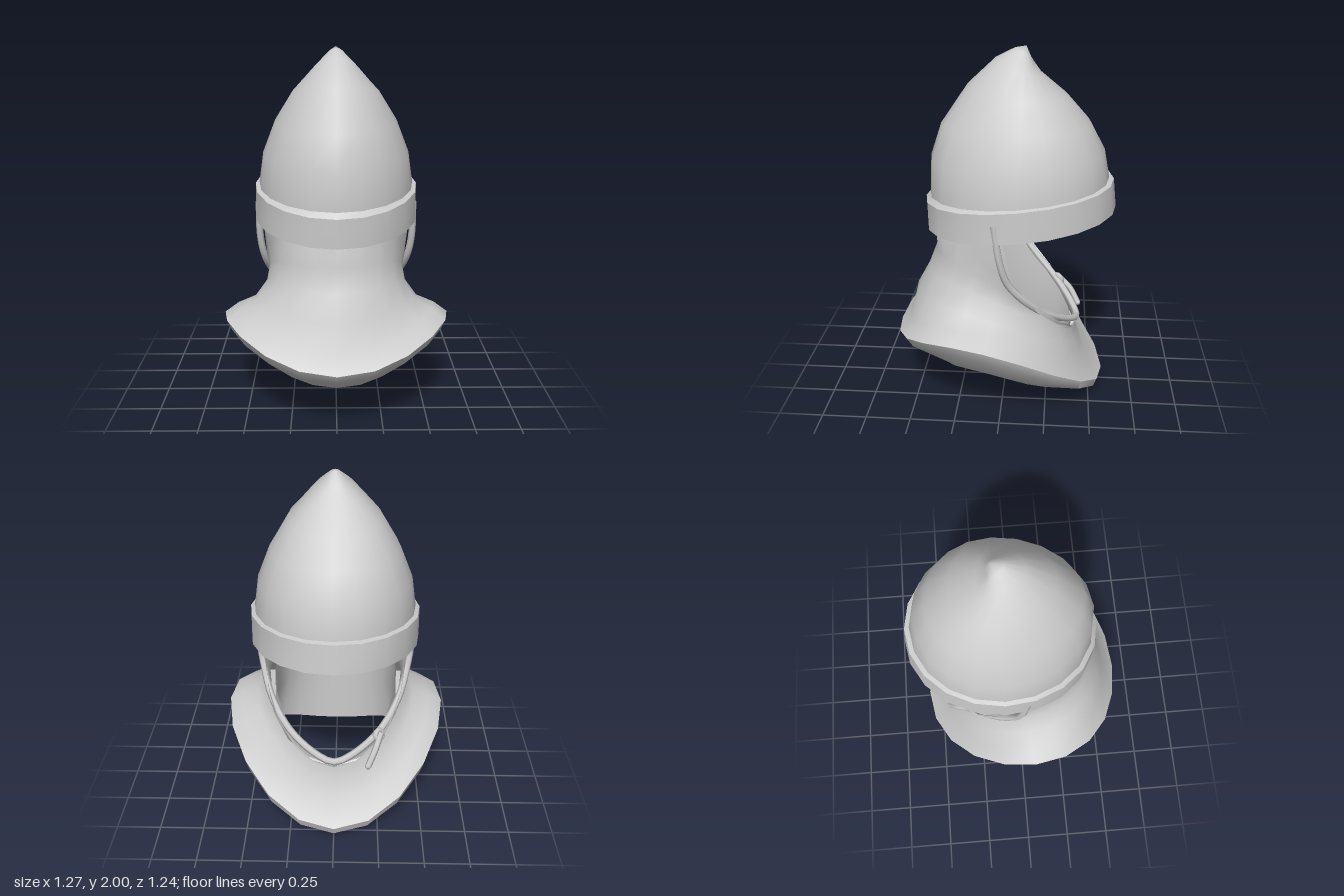
import * as THREE from 'three';
import { toCreasedNormals } from 'three/addons/utils/BufferGeometryUtils.js';

const SIDES = 20;
const material = new THREE.MeshStandardMaterial({ color: 0xcccccc, side: THREE.DoubleSide });

// Value round a ring, given at the front (+z), at the side and at the back (-z).
function around(front, side, back, t) {
  const mid = (front + back) / 2;
  return (mid + side) / 2 + ((front - back) / 2) * Math.cos(t) + ((mid - side) / 2) * Math.cos(2 * t);
}

// Left-right symmetric ring: front [z, y], side [x, z, y], back [z, y].
function ring([f, s, b]) {
  return Array.from({ length: SIDES }, (_, i) => {
    const t = (i / SIDES) * Math.PI * 2;
    return new THREE.Vector3(s[0] * Math.sin(t), around(f[1], s[2], b[1], t), around(f[0], s[1], b[0], t));
  });
}

// Skin a list of rings; the last one may be closed with an apex.
function loft(rings, crease, apex) {
  const pos = rings.flat().flatMap((p) => [p.x, p.y, p.z]);
  const index = [];
  for (let r = 0; r < rings.length - 1; r++) {
    for (let i = 0; i < SIDES; i++) {
      const a = r * SIDES + i, b = r * SIDES + ((i + 1) % SIDES);
      index.push(a, b, b + SIDES, a, b + SIDES, a + SIDES);
    }
  }
  if (apex) {
    const top = rings.length * SIDES, base = top - SIDES;
    pos.push(...apex);
    for (let i = 0; i < SIDES; i++) index.push(base + i, base + ((i + 1) % SIDES), top);
  }
  const geo = new THREE.BufferGeometry();
  geo.setAttribute('position', new THREE.Float32BufferAttribute(pos, 3));
  geo.setIndex(index);
  geo.computeVertexNormals();
  return crease ? toCreasedNormals(geo, crease) : geo;
}

const curve = (pts) => new THREE.CatmullRomCurve3(pts.map((p) => new THREE.Vector3(...p)));
const mirrored = (half) => [...half, ...half.slice(0, -1).reverse().map(([x, y, z]) => [-x, y, z])];

export function createModel() {
  const group = new THREE.Group();
  const add = (name, geo) => {
    const mesh = new THREE.Mesh(geo, material);
    mesh.name = name;
    group.add(mesh);
    return mesh;
  };

  // Pointed skull, its tip swept towards -z
  const skull = [
    [[0.41, 1.08], [0.43, -0.09, 1.14], [-0.575, 1.2]],
    [[0.42, 1.2], [0.435, -0.09, 1.25], [-0.57, 1.3]],
    [[0.41, 1.4], [0.41, -0.09, 1.42], [-0.54, 1.45]],
    [[0.35, 1.58], [0.34, -0.1, 1.6], [-0.46, 1.6]],
    [[0.2, 1.8], [0.24, -0.1, 1.76], [-0.335, 1.74]],
    [[0.05, 1.94], [0.125, -0.1, 1.88], [-0.19, 1.86]],
    [[-0.05, 1.99], [0.045, -0.11, 1.96], [-0.14, 1.925]],
  ];
  add('skull', loft(skull.map(ring), 0, [0, 2, -0.11]));

  // Tilted brow band
  const band = [
    [[0.42, 1.19], [0.43, -0.09, 1.25], [-0.57, 1.29]],
    [[0.405, 1.01], [0.425, -0.09, 1.07], [-0.58, 1.13]],
    [[0.44, 1.0], [0.46, -0.09, 1.07], [-0.615, 1.125]],
    [[0.445, 1.16], [0.457, -0.09, 1.24], [-0.597, 1.285]],
    [[0.42, 1.19], [0.43, -0.09, 1.25], [-0.57, 1.29]],
  ];
  add('browBand', loft(band.map(ring), 0.7));

  // Coif: lining, neck hole, cape rim, shoulders and neck, ending at the face opening
  const coif = [
    [[0.36, 0.9], [0.35, 0.0, 0.78], [-0.39, 0.4]],
    [[0.36, 0.5], [0.36, 0.05, 0.52], [-0.37, 0.2]],
    [[0.36, 0.18], [0.42, 0.08, 0.27], [-0.34, 0.0]],
    [[0.59, 0.32], [0.61, 0.05, 0.45], [-0.56, 0.03]],
    [[0.62, 0.37], [0.635, 0.07, 0.52], [-0.58, 0.08]],
    [[0.55, 0.46], [0.56, 0.05, 0.57], [-0.47, 0.2]],
    [[0.51, 0.62], [0.46, 0.04, 0.61], [-0.43, 0.32]],
    [[0.44, 0.75], [0.395, 0.03, 0.7], [-0.41, 0.38]],
    [[0.39, 0.88], [0.38, 0.01, 0.78], [-0.41, 0.39]],
    [[0.4, 1.1], [0.395, -0.02, 0.84], [-0.415, 0.395]],
  ].map(ring);
  const edge = curve([
    [0, 1.3, 0.25], [0.33, 1.25, 0.1], [0.415, 1.1, 0], [0.405, 0.95, -0.035],
    [0.39, 0.78, -0.08], [0.34, 0.6, -0.22], [0.2, 0.46, -0.36], [0, 0.4, -0.42],
  ]);
  coif.push(Array.from({ length: SIDES }, (_, i) => {
    const p = edge.getPoint(1 - Math.abs(1 - (2 * i) / SIDES));
    if (i > SIDES / 2) p.x *= -1;
    return p;
  }));
  add('coif', loft(coif, 0.9));

  // Chin strap hanging from the band
  const strap = curve(mirrored([
    [0.43, 1.16, 0.03], [0.43, 0.95, 0.0], [0.41, 0.82, -0.04], [0.36, 0.68, -0.15],
    [0.25, 0.55, -0.29], [0.1, 0.46, -0.39], [0, 0.43, -0.42],
  ]));
  add('chinStrap', new THREE.TubeGeometry(strap, 48, 0.02, 6));

  // Knot with its loose end
  const knot = add('strapKnot', new THREE.TorusGeometry(0.027, 0.016, 6, 10));
  knot.position.set(-0.25, 0.54, -0.31);
  knot.rotation.set(0.4, 0.7, 0);
  const tail = curve([[-0.26, 0.55, -0.31], [-0.23, 0.49, -0.38], [-0.19, 0.41, -0.43]]);
  add('strapEnd', new THREE.TubeGeometry(tail, 8, 0.018, 6));
  const cap = add('strapEndCap', new THREE.SphereGeometry(0.018, 6, 4));
  cap.position.set(-0.19, 0.41, -0.43);

  return group;
}
